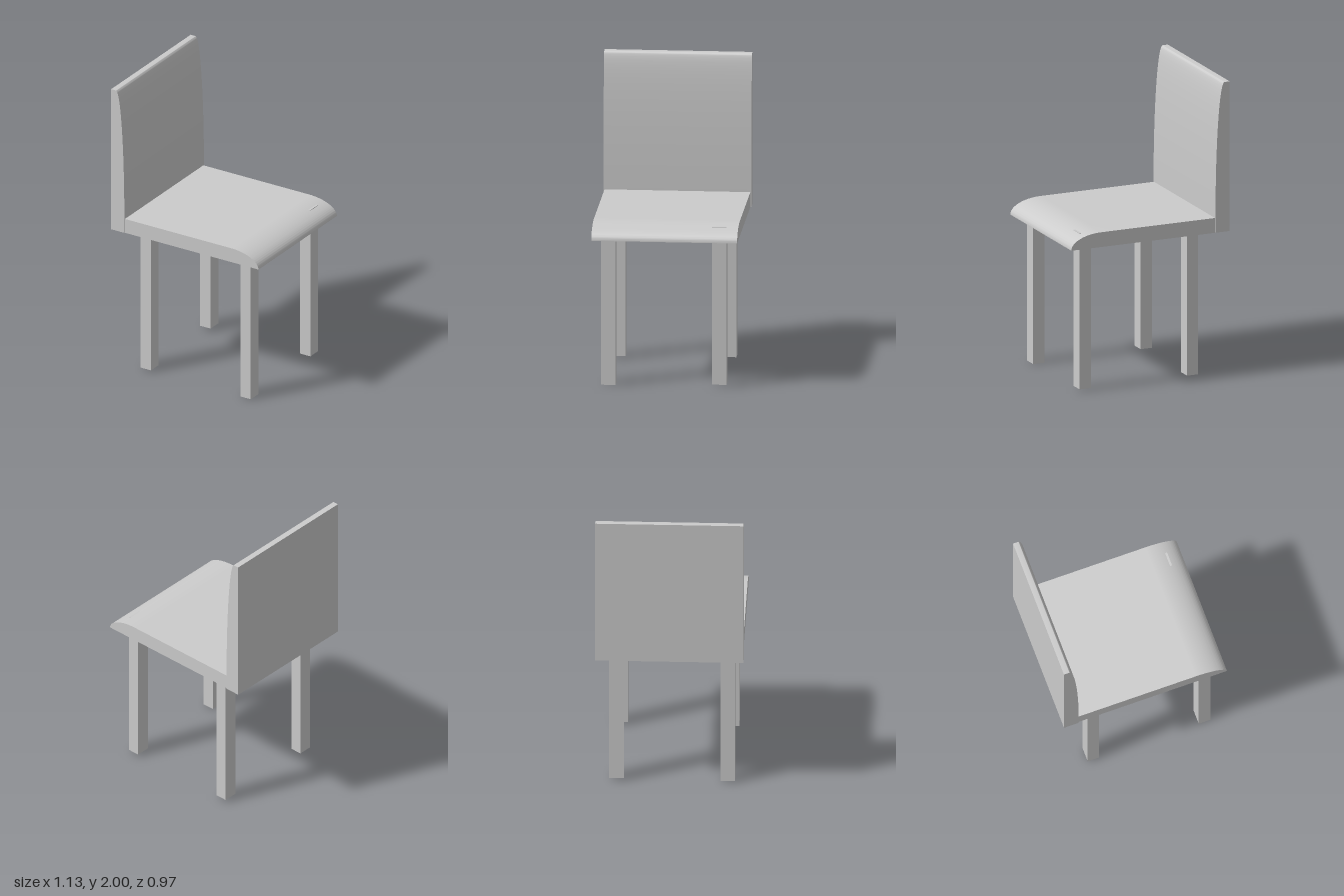
import * as THREE from 'three';
import { toCreasedNormals } from 'three/addons/utils/BufferGeometryUtils.js';

const material = new THREE.MeshStandardMaterial({ color: 0xcccccc });

// Extrude a side profile (x, y) across the chair from z0 to z1
function panel(name, shape, z0, z1) {
  const geometry = new THREE.ExtrudeGeometry(shape, {
    depth: z1 - z0, bevelEnabled: false, curveSegments: 32,
  });
  geometry.translate(0, 0, z0);
  const mesh = new THREE.Mesh(toCreasedNormals(geometry, 0.6), material);
  mesh.name = name;
  return mesh;
}

function leg(name, x, z, bottom, top) {
  const mesh = new THREE.Mesh(new THREE.BoxGeometry(0.08, top - bottom, 0.095), material);
  mesh.position.set(x, (bottom + top) / 2, z);
  mesh.name = name;
  return mesh;
}

export function createModel() {
  const chair = new THREE.Group();
  chair.name = 'chair';

  // Seat: flat slab with a quarter-ellipse front edge
  const seat = new THREE.Shape();
  seat.moveTo(-0.54, 0.985);
  seat.lineTo(0.565, 0.985);
  seat.absellipse(0.35, 0.985, 0.215, 0.1, 0, Math.PI / 2, false, 0);
  seat.lineTo(-0.54, 1.085);
  seat.closePath();
  chair.add(panel('seat', seat, -0.478, 0.475));

  // Backrest: straight rear face, front face curving back towards the top
  const back = new THREE.Shape();
  back.moveTo(-0.567, 0.987);
  back.lineTo(-0.465, 0.987);
  back.lineTo(-0.465, 1.085);
  back.absellipse(-0.53, 1.085, 0.065, 0.915, 0, Math.PI / 2, false, 0);
  back.lineTo(-0.567, 2);
  back.closePath();
  chair.add(panel('backrest', back, -0.485, 0.482));

  // Four square legs, with slightly uneven feet
  chair.add(
    leg('frontLeftLeg', 0.43, 0.372, 0, 1.06),
    leg('frontRightLeg', 0.43, -0.353, 0.015, 1.072),
    leg('backLeftLeg', -0.34, 0.372, 0.01, 1.06),
    leg('backRightLeg', -0.34, -0.353, 0.017, 1.06),
  );
  return chair;
}
